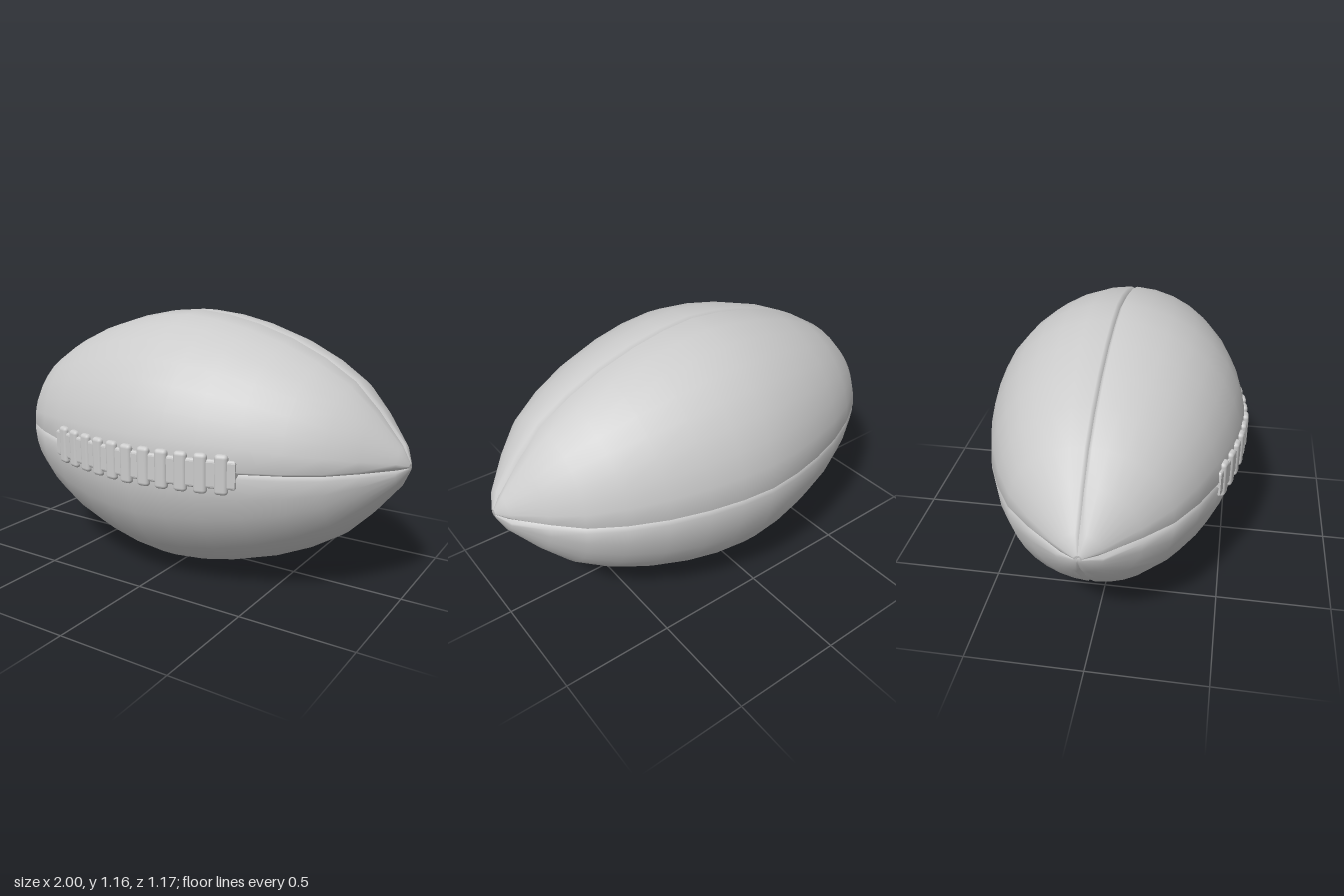
import * as THREE from 'three';
import { RoundedBoxGeometry } from 'three/addons/geometries/RoundedBoxGeometry.js';

const CY = 0.581, CZ = -0.008;
// half profile of the ball: [distance from middle, radius]
const HALF = [[0, 0.58], [0.15, 0.566], [0.3, 0.535], [0.465, 0.483], [0.62, 0.412],
  [0.754, 0.328], [0.86, 0.22], [0.965, 0.09], [0.998, 0.018], [0.988, 0]];
const PROFILE = [...HALF.slice(1).reverse().map(([x, r]) => [-x, r]), ...HALF];

// radius and slope of the ball at a given x
function radius(x) {
  const a = Math.abs(x);
  const i = HALF.findIndex((p) => p[0] > a);
  const [p, q] = [HALF[i - 1], HALF[i]];
  return p[1] + (q[1] - p[1]) * (a - p[0]) / (q[0] - p[0]);
}
const slope = (x) => (radius(x + 0.06) - radius(x - 0.06)) / 0.12;

// one quarter of the ball, its edges dipping into the seams
function panelGeometry(start) {
  const pos = [], index = [], SEG = 8, COLS = SEG + 3;
  for (const [x, r] of PROFILE) {
    const edge = r > 0 ? Math.min(0.014 / r, 0.2) : 0.1;
    const depth = Math.min(0.024, r * 0.2);
    for (let j = 0; j < COLS; j++) {
      const seam = j === 0 || j === COLS - 1;
      const t = j === 0 ? 0 : j === COLS - 1 ? Math.PI / 2
        : edge + (Math.PI / 2 - 2 * edge) * (j - 1) / SEG;
      const rr = seam ? r - depth : r;
      pos.push(x, CY + rr * Math.cos(start + t), CZ + rr * Math.sin(start + t));
    }
  }
  for (let i = 0; i < PROFILE.length - 1; i++) {
    for (let j = 0; j < COLS - 1; j++) {
      const a = i * COLS + j, b = a + 1, c = a + COLS, d = c + 1;
      index.push(a, b, c, b, d, c);
    }
  }
  const g = new THREE.BufferGeometry();
  g.setAttribute('position', new THREE.Float32BufferAttribute(pos, 3));
  g.setIndex(index);
  g.computeVertexNormals();
  return g;
}

// curved strip running under the cross laces
function laceStripGeometry() {
  const N = 24, L = 0.452, H = 0.096, outer = [], inner = [];
  for (let i = 0; i <= N; i++) {
    const x = -L + 2 * L * i / N;
    outer.push(new THREE.Vector2(x, -(radius(x) - 0.006)));
    inner.unshift(new THREE.Vector2(x, -(radius(x) - 0.035)));
  }
  const g = new THREE.ExtrudeGeometry(new THREE.Shape([...outer, ...inner]), {
    depth: H, bevelEnabled: true, bevelThickness: 0.012, bevelSize: 0.012, bevelSegments: 3,
  });
  g.translate(0, 0, -H / 2);
  g.rotateX(-Math.PI / 2); // shape y becomes -z
  return g;
}

export function createModel() {
  const model = new THREE.Group();
  model.name = 'football';
  const material = new THREE.MeshStandardMaterial({ color: 0xcccccc });
  const add = (geometry, name, parent) => {
    const mesh = new THREE.Mesh(geometry, material);
    mesh.name = name;
    parent.add(mesh);
    return mesh;
  };

  // four leather panels
  const ball = new THREE.Group();
  ball.name = 'ball';
  model.add(ball);
  for (let k = 0; k < 4; k++) add(panelGeometry(k * Math.PI / 2), `panel${k + 1}`, ball);

  // lacing on the front seam
  const lacing = new THREE.Group();
  lacing.name = 'lacing';
  lacing.position.set(0, CY, CZ);
  model.add(lacing);
  add(laceStripGeometry(), 'laceStrip', lacing);
  const laceGeometry = new RoundedBoxGeometry(0.056, 0.166, 0.06, 3, 0.016);
  for (let i = -5; i <= 5; i++) {
    const x = i * 0.0815, tilt = Math.atan(-slope(x)), out = -0.017;
    const lace = add(laceGeometry, `crossLace${i + 6}`, lacing);
    lace.position.set(x + Math.sin(tilt) * out, 0, radius(x) + Math.cos(tilt) * out);
    lace.rotation.y = tilt;
  }
  return model;
}
